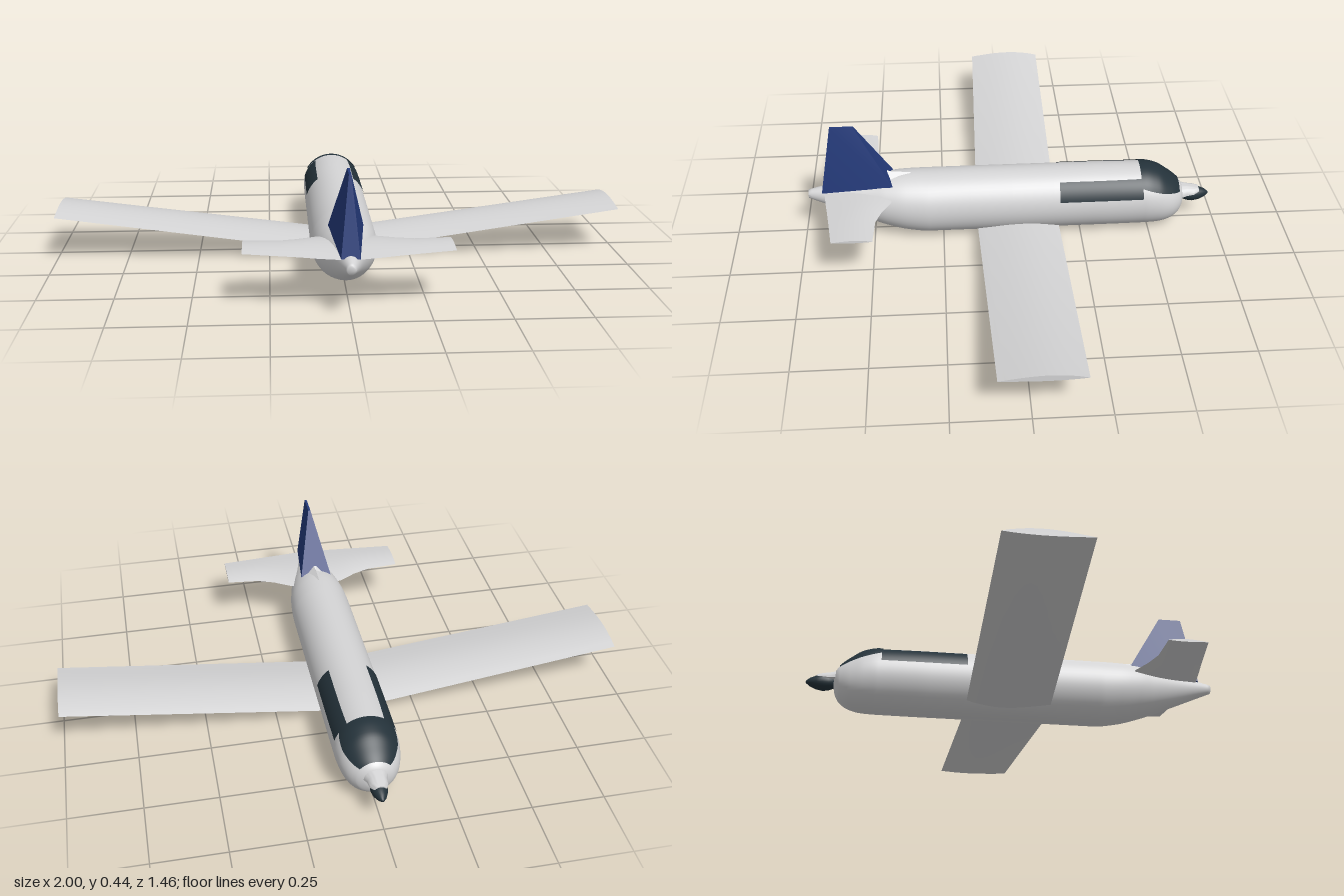
import * as THREE from 'three';
import { toCreasedNormals } from 'three/addons/utils/BufferGeometryUtils.js';

// Skin a list of rings of [x, y, z] points
function loft(rings, closed = true) {
  const n = rings[0].length, index = [], pos = rings.flat(2);
  for (let i = 0; i < rings.length - 1; i++) {
    for (let j = 0; j < (closed ? n : n - 1); j++) {
      const k = (j + 1) % n, a = i * n + j, b = i * n + k;
      index.push(a, b, a + n, b, b + n, a + n);
    }
  }
  if (closed) {
    const e = (rings.length - 1) * n;
    for (let j = 1; j < n - 1; j++) index.push(0, j + 1, j, e, e + j, e + j + 1);
  }
  const g = new THREE.BufferGeometry();
  g.setAttribute('position', new THREE.Float32BufferAttribute(pos, 3));
  g.setIndex(index);
  g.computeVertexNormals();
  return g;
}

// Fuselage stations: z, bottom, top, half width
const STATIONS = [
  [-0.632, 0.095, 0.115, 0.012], [-0.625, 0.063, 0.148, 0.042], [-0.61, 0.037, 0.166, 0.066],
  [-0.575, 0.014, 0.194, 0.091], [-0.53, 0.004, 0.223, 0.105], [-0.48, 0.002, 0.235, 0.11],
  [-0.3, 0.001, 0.238, 0.111], [0.3, 0.001, 0.238, 0.111], [0.38, 0.012, 0.237, 0.107],
  [0.45, 0.032, 0.231, 0.095], [0.5, 0.05, 0.223, 0.081], [0.6, 0.091, 0.207, 0.051],
  [0.68, 0.125, 0.19, 0.029], [0.73, 0.146, 0.178, 0.014],
];

// Smooth monotone interpolation of the stations at z
function station(z) {
  const S = STATIONS;
  let i = 0;
  while (i < S.length - 2 && z > S[i + 1][0]) i++;
  const h = S[i + 1][0] - S[i][0], t = (z - S[i][0]) / h;
  const rate = (k, c) => (S[k + 1][c] - S[k][c]) / (S[k + 1][0] - S[k][0]);
  const slope = (k, c) => {
    if (k === 0) return rate(0, c);
    if (k === S.length - 1) return rate(k - 1, c);
    const a = rate(k - 1, c), b = rate(k, c);
    return a * b <= 0 ? 0 : (2 * a * b) / (a + b);
  };
  const value = (c) => {
    const t2 = t * t, t3 = t2 * t;
    return (2 * t3 - 3 * t2 + 1) * S[i][c] + (t3 - 2 * t2 + t) * h * slope(i, c)
      + (3 * t2 - 2 * t3) * S[i + 1][c] + (t3 - t2) * h * slope(i + 1, c);
  };
  const lo = value(1), hi = value(2);
  return { cy: (lo + hi) / 2, ry: (hi - lo) / 2, rx: value(3) };
}

function skinPoint(z, a, lift = 0) {
  const s = station(z);
  return [(s.rx + lift) * Math.cos(a), s.cy + (s.ry + lift) * Math.sin(a), z];
}

function fuselage() {
  const rings = [];
  for (let i = 0; i < STATIONS.length - 1; i++) {
    for (let k = i ? 1 : 0; k <= 4; k++) {
      const z = THREE.MathUtils.lerp(STATIONS[i][0], STATIONS[i + 1][0], k / 4);
      rings.push(Array.from({ length: 48 }, (_, j) => skinPoint(z, (j / 48) * Math.PI * 2)));
    }
  }
  return loft(rings);
}

// Glass lying on the fuselage skin; range(z) gives the two angles
function glass(z0, z1, range, lift) {
  const rings = [];
  for (let i = 0; i <= 16; i++) {
    const z = THREE.MathUtils.lerp(z0, z1, i / 16), [a0, a1] = range(z);
    rings.push(Array.from({ length: 25 }, (_, j) => skinPoint(z, a0 + ((a1 - a0) * j) / 24, lift)));
  }
  return loft(rings, false);
}

function angleAt(z, y) {
  const s = station(z);
  return Math.asin(THREE.MathUtils.clamp((y - s.cy) / s.ry, -1, 1));
}

// Symmetric span from half stations: x, front z, rear z, edge y, rise above, drop below
function airfoil(half) {
  const mirrored = half.slice(1).reverse().map(([x, ...r]) => [-x, ...r]);
  const rings = [...mirrored, ...half].map(([x, z0, z1, y, rise, drop]) => {
    const ring = [], n = 12;
    for (let j = 0; j < 2 * n; j++) {
      const t = j <= n ? j / n : 2 - j / n;
      const f = Math.sin(Math.PI * Math.pow(t, 0.85));
      ring.push([x, y + f * (j <= n ? rise : -drop), z0 + (z1 - z0) * t]);
    }
    return ring;
  });
  return toCreasedNormals(loft(rings), 0.5);
}

export function createModel() {
  const model = new THREE.Group();
  const material = (name, color, side = THREE.FrontSide) => {
    const m = new THREE.MeshStandardMaterial({ color, side });
    m.name = name;
    return m;
  };
  const white = material('paleGrey', 0xd4d4d5);
  const dark = material('darkGlass', 0x24323a, THREE.DoubleSide);
  const blue = material('navyBlue', 0x243a7a);
  const add = (name, geometry, mat) => {
    const mesh = new THREE.Mesh(geometry, mat);
    mesh.name = name;
    model.add(mesh);
    return mesh;
  };

  add('fuselage', fuselage(), white);

  // Windshield wraps over the top of the nose
  add('windshield', glass(-0.612, -0.465, (z) => {
    const a = angleAt(z, THREE.MathUtils.mapLinear(z, -0.612, -0.465, 0.143, 0.19));
    return [a, Math.PI - a];
  }, 0.004), dark);

  // Long side windows
  add('leftWindow', glass(-0.47, -0.17, (z) => [angleAt(z, 0.155), angleAt(z, 0.215)], 0.002), dark);
  add('rightWindow', glass(-0.47, -0.17,
    (z) => [Math.PI - angleAt(z, 0.215), Math.PI - angleAt(z, 0.155)], 0.002), dark);

  // Wings with dihedral, and the tailplane
  add('wings', airfoil([
    [0, -0.17, 0.127, 0.024, 0.026, 0.012],
    [1, -0.17, 0.105, 0.16, 0.016, 0.006],
  ]), white);
  add('tailplane', airfoil([
    [0, 0.415, 0.675, 0.175, 0.014, 0.01],
    [0.1, 0.432, 0.662, 0.178, 0.013, 0.01],
    [0.16, 0.464, 0.653, 0.181, 0.011, 0.008],
    [0.22, 0.484, 0.645, 0.183, 0.01, 0.006],
    [0.335, 0.49, 0.63, 0.187, 0.007, 0.003],
  ]), white);

  // Tapered fin: wide at the front of its base, thin at the tip
  const fin = loft([
    [[0.058, 0.215, 0.425], [-0.058, 0.215, 0.425], [-0.03, 0.18, 0.68], [0.03, 0.18, 0.68]],
    [[0.004, 0.437, 0.553], [-0.004, 0.437, 0.553], [-0.004, 0.437, 0.635], [0.004, 0.437, 0.635]],
  ]);
  // Ridge running up to the spine ahead of the fin
  const ridge = loft([
    [[0.052, 0.21, 0.43], [-0.052, 0.21, 0.43], [0, 0.239, 0.36]].reverse(),
    [[0.004, 0.25, 0.445], [-0.004, 0.25, 0.445], [0, 0.24, 0.43]].reverse(),
  ]);
  add('fin', toCreasedNormals(fin, 0.2), blue);
  add('finFairing', toCreasedNormals(ridge, 0.2), white);

  // Nose cone with a pale cowl over its root
  const profile = [[0, 0], [0.016, 0.004], [0.026, 0.03], [0.029, 0.05], [0.025, 0.072],
    [0.015, 0.095], [0.005, 0.108], [0, 0.11]].map(([r, h]) => new THREE.Vector2(r, h));
  const cone = add('noseCone', new THREE.LatheGeometry(profile, 24), dark);
  cone.rotation.x = -Math.PI / 2;
  cone.position.set(0, 0.104, -0.618);
  const cowlRings = [[-0.69, 0.02, 0.121, 0.012], [-0.67, 0.031, 0.115, 0.022],
    [-0.645, 0.033, 0.112, 0.03], [-0.615, 0.045, 0.11, 0.038]].map(([z, rx, y, ry]) =>
    Array.from({ length: 17 }, (_, j) => {
      const a = (j / 16) * Math.PI;
      return [rx * Math.cos(a), y + ry * Math.sin(a), z];
    }));
  add('noseCowl', toCreasedNormals(loft(cowlRings), 0.8), white);

  return model;
}
